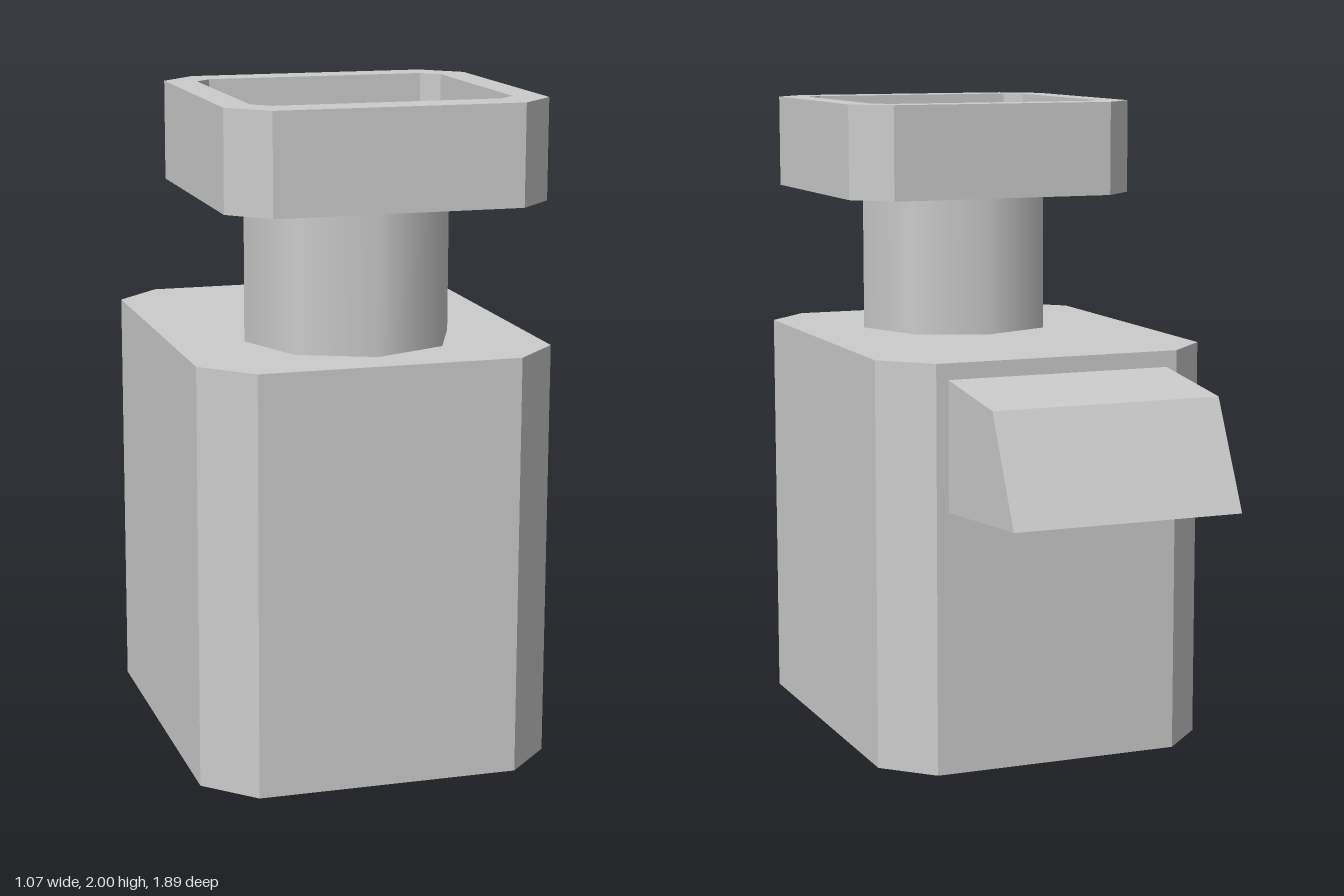
import * as THREE from 'three';

const material = new THREE.MeshStandardMaterial({ color: 0xcccccc, side: THREE.DoubleSide });

function addMesh(parent, name, geometry) {
  const mesh = new THREE.Mesh(geometry, material);
  mesh.name = name;
  parent.add(mesh);
  return mesh;
}

// Corners of a chamfered rectangle, counter-clockwise from above, as (x, -z)
function chamferedRect(halfWidth, zBack, zFront, c) {
  const w = halfWidth, f = -zFront, b = -zBack;
  return [
    [-w + c, f], [w - c, f], [w, f + c], [w, b - c],
    [w - c, b], [-w + c, b], [-w, b - c], [-w, f + c],
  ].map(([x, y]) => new THREE.Vector2(x, y));
}

// Flat-shaded panels from lists of four corners
function panels(quads) {
  const positions = quads.flatMap(([a, b, c, d]) => [a, b, c, a, c, d].flat());
  const geometry = new THREE.BufferGeometry();
  geometry.setAttribute('position', new THREE.Float32BufferAttribute(positions, 3));
  geometry.computeVertexNormals();
  return geometry;
}

// Upright walls along an outline, open at both ends
function walls(outline, y0, y1) {
  return panels(outline.map((a, i) => {
    const b = outline[(i + 1) % outline.length];
    return [[a.x, y0, -a.y], [b.x, y0, -b.y], [b.x, y1, -b.y], [a.x, y1, -a.y]];
  }));
}

// Level plate facing up, with an optional hole
function plate(outline, y, hole) {
  const shape = new THREE.Shape(outline);
  if (hole) shape.holes.push(new THREE.Path(hole));
  return new THREE.ShapeGeometry(shape).rotateX(-Math.PI / 2).translate(0, y, 0);
}

export function createModel() {
  const model = new THREE.Group();
  model.name = 'model';

  // Body: chamfered box shell, open underneath
  const body = new THREE.Group();
  body.name = 'body';
  const bodyOutline = chamferedRect(0.535, -0.435, 0.88, 0.142);
  addMesh(body, 'bodyWalls', walls(bodyOutline, 0, 1.26));
  addMesh(body, 'bodyTop', plate(bodyOutline, 1.26));

  // Neck: smooth eight-sided column running up to the tray floor
  const neckTop = 1.765;
  const neck = addMesh(model, 'neck',
    new THREE.CylinderGeometry(0.317, 0.317, neckTop - 1.26, 8, 1, true));
  neck.position.set(0, (neckTop + 1.26) / 2, 0.44);

  // Head: hollow chamfered rim with a sunken tray, open underneath
  const head = new THREE.Group();
  head.name = 'head';
  const rim = chamferedRect(0.475, 0, 0.945, 0.11);
  const tray = chamferedRect(0.385, 0.105, 0.83, 0.05);
  addMesh(head, 'headWalls', walls(rim, 1.705, 2));
  addMesh(head, 'headRim', plate(rim, 2, tray));
  addMesh(head, 'trayWalls', walls([...tray].reverse(), neckTop, 2));
  addMesh(head, 'trayFloor', plate(tray, neckTop));

  // Rear hood: sloping cover on the back wall, open underneath
  const profile = [[1.21, -0.435], [1.17, -0.785], [0.85, -0.945], [0.81, -0.435]];
  const left = profile.map(([y, z]) => [0.355, y, z]);
  const right = profile.map(([y, z]) => [-0.36, y, z]);
  addMesh(model, 'rearHood', panels([
    [left[0], left[3], left[2], left[1]],
    right,
    [left[0], left[1], right[1], right[0]],
    [left[1], left[2], right[2], right[1]],
  ]));

  model.add(body, head);
  return model;
}
